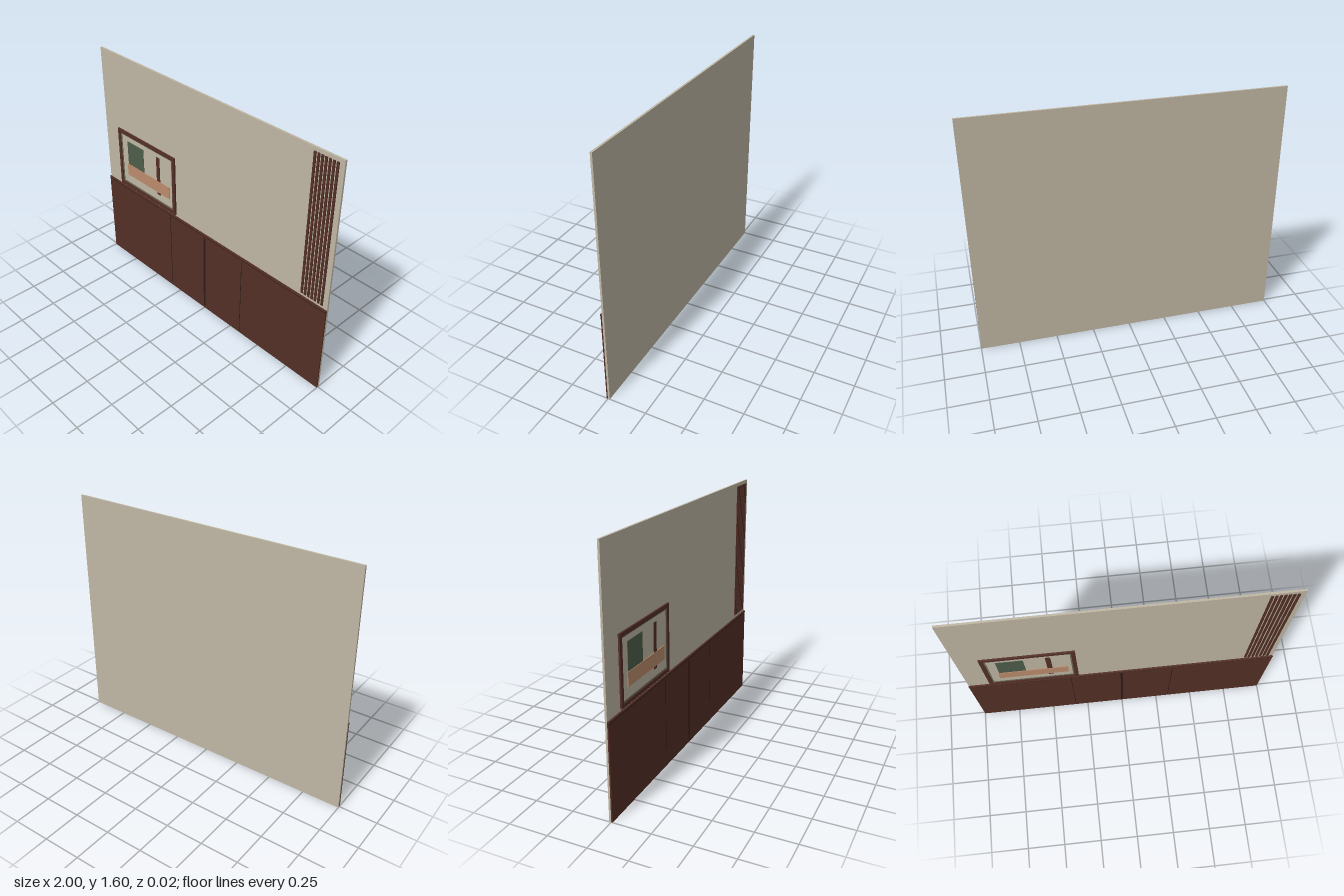
import * as THREE from 'three';

const mat = (name, color) => {
  const m = new THREE.MeshStandardMaterial({ color });
  m.name = name;
  return m;
};

export function createModel() {
  const plaster = mat('warm plaster', 0xc0b7a4);
  const wood = mat('dark walnut', 0x542f26);
  const seam = mat('seam shadow', 0x2c1c19);
  const sage = mat('sage green', 0x4e5e4b);
  const clay = mat('clay', 0xbc8b6c);
  const olive = mat('frame liner', 0x69695a);

  const model = new THREE.Group();
  model.name = 'panelledWall';

  // Box given by its limits on each axis
  const block = (name, material, [x0, x1], [y0, y1], [z0, z1], parent = model) => {
    const mesh = new THREE.Mesh(new THREE.BoxGeometry(x1 - x0, y1 - y0, z1 - z0), material);
    mesh.position.set((x0 + x1) / 2, (y0 + y1) / 2, (z0 + z1) / 2);
    mesh.name = name;
    parent.add(mesh);
    return mesh;
  };

  // Rectangular ring of the given bar width
  const ring = (name, material, [x0, x1], [y0, y1], bar, z0, depth, parent) => {
    const shape = new THREE.Shape([
      new THREE.Vector2(x0, y0), new THREE.Vector2(x1, y0),
      new THREE.Vector2(x1, y1), new THREE.Vector2(x0, y1)]);
    shape.holes.push(new THREE.Path([
      new THREE.Vector2(x0 + bar, y0 + bar), new THREE.Vector2(x0 + bar, y1 - bar),
      new THREE.Vector2(x1 - bar, y1 - bar), new THREE.Vector2(x1 - bar, y0 + bar)]));
    const mesh = new THREE.Mesh(
      new THREE.ExtrudeGeometry(shape, { depth, bevelEnabled: false }), material);
    mesh.position.z = z0;
    mesh.name = name;
    parent.add(mesh);
  };

  // Wall slab
  block('wall', plaster, [-1, 1], [0, 1.6], [-0.012, 0.001]);

  // Wainscot with top rail and vertical seams
  const wainscot = new THREE.Group();
  wainscot.name = 'wainscot';
  model.add(wainscot);
  block('wainscotPanel', wood, [-1, 1], [0, 0.605], [0.001, 0.0095], wainscot);
  block('topRail', wood, [-1, 1], [0.609, 0.62], [0.001, 0.012], wainscot);
  block('railShadow', seam, [-1, 1], [0.603, 0.609], [0.001, 0.0105], wainscot);
  block('centreSeam', seam, [-0.008, 0.008], [0.015, 0.592], [0.009, 0.01], wainscot);
  for (const x of [-0.335, 0.335]) {
    block('sideSeam', seam, [x - 0.002, x + 0.002], [0.015, 0.592], [0.009, 0.011], wainscot);
  }

  // Vertical slats
  const slats = new THREE.Group();
  slats.name = 'slats';
  model.add(slats);
  for (let i = 0; i < 7; i++) {
    const x = 0.813 + i * 0.0245;
    block('slat', wood, [x - 0.0075, x + 0.0075], [0.64, 1.577], [0.001, 0.007], slats);
  }

  // Framed abstract picture
  const picture = new THREE.Group();
  picture.name = 'framedPicture';
  model.add(picture);
  ring('frame', wood, [-0.86, -0.282], [0.632, 1.066], 0.025, 0.001, 0.011, picture);
  ring('frameLiner', olive, [-0.835, -0.307], [0.657, 1.041], 0.009, 0.001, 0.006, picture);
  block('canvas', plaster, [-0.826, -0.316], [0.666, 1.032], [0.001, 0.004], picture);
  block('greenBlock', sage, [-0.77, -0.602], [0.815, 0.995], [0.004, 0.006], picture);
  block('uprightBar', wood, [-0.468, -0.436], [0.712, 1.0], [0.004, 0.007], picture);
  block('clayBand', clay, [-0.778, -0.34], [0.73, 0.818], [0.004, 0.009], picture);

  return model;
}
